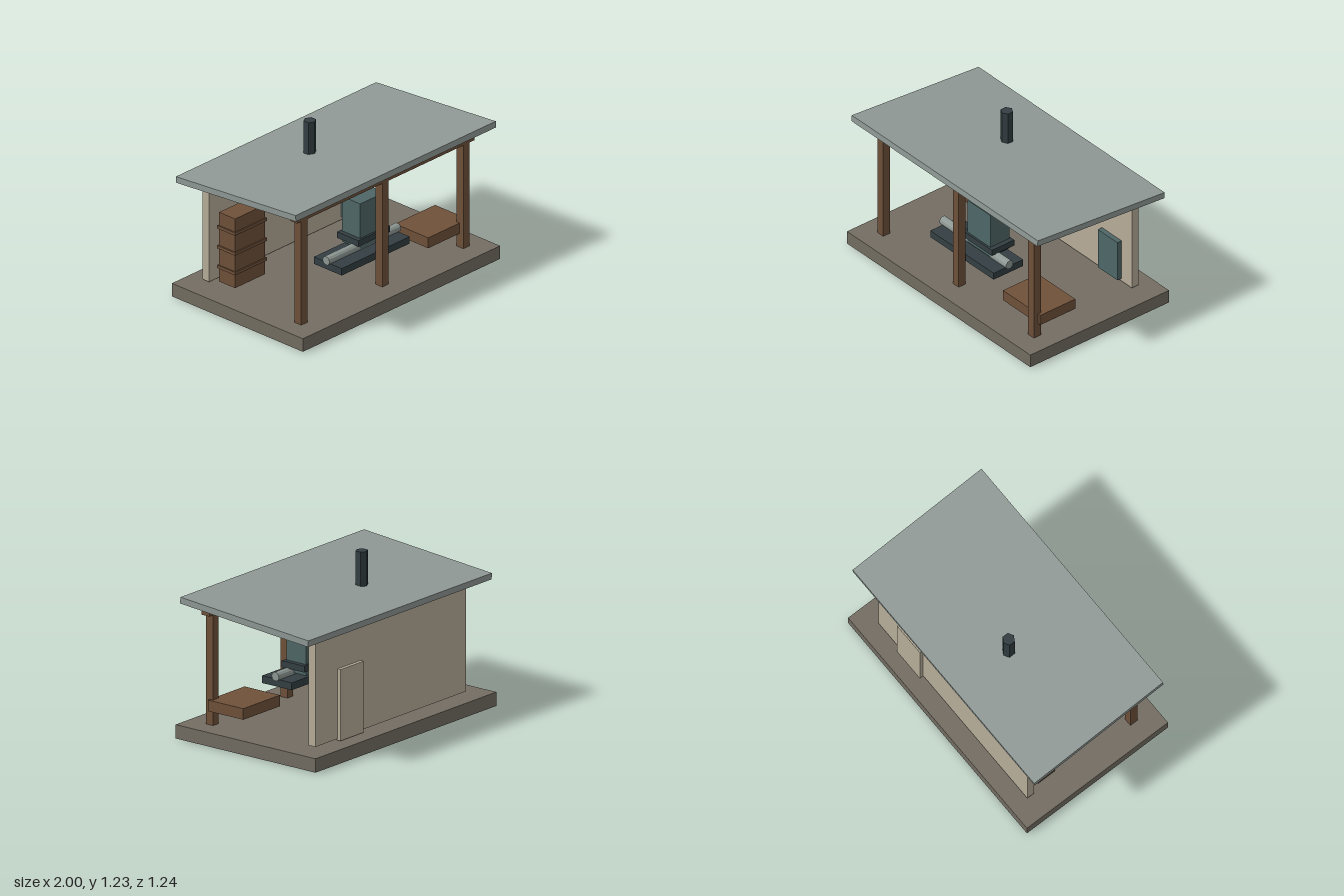
import * as THREE from 'three';

const mat = (color) => new THREE.MeshStandardMaterial({ color, flatShading: true });

export function createModel() {
  const model = new THREE.Group();
  const stone = mat(0x736d62), wood = mat(0x6f513a), plaster = mat(0xb8ae9a);
  const sheet = mat(0x8f9995), teal = mat(0x4f6767), iron = mat(0x343f43);

  const add = (name, geometry, material, x, y, z) => {
    const mesh = new THREE.Mesh(geometry, material);
    mesh.name = name;
    mesh.position.set(x, y, z);
    model.add(mesh);
    return mesh;
  };
  // Box given by its lower and upper limits on each axis
  const box = (name, material, [x0, x1], [y0, y1], [z0, z1]) =>
    add(name, new THREE.BoxGeometry(x1 - x0, y1 - y0, z1 - z0), material,
      (x0 + x1) / 2, (y0 + y1) / 2, (z0 + z1) / 2);

  // Floor slab
  box('floor', stone, [-0.985, 0.985], [0, 0.1], [-0.62, 0.62]);

  // Sloping roof, higher at the front, with a six-sided chimney
  const roof = add('roof', new THREE.BoxGeometry(2, 0.046, 1.137), sheet, 0, 0.965, 0);
  roof.rotation.x = -0.079;
  add('chimney', new THREE.CylinderGeometry(0.045, 0.045, 0.26, 6), iron, -0.145, 1.095, -0.11);

  // Front posts and the beam they carry
  for (const x of [-0.81, 0, 0.81]) {
    box('post', wood, [x - 0.031, x + 0.031], [0.1, 0.963], [0.405, 0.468]);
  }
  box('beam', wood, [-0.885, 0.885], [0.897, 0.954], [0.402, 0.472]);

  // Back wall with a door outside and a panel inside
  box('backWall', plaster, [-0.82, 0.82], [0.118, 0.858], [-0.485, -0.425]);
  box('backDoor', plaster, [0.33, 0.58], [0.108, 0.622], [-0.512, -0.478]);
  box('wallPanel', teal, [0.5, 0.71], [0.14, 0.453], [-0.426, -0.388]);

  // Banded wooden cabinet
  box('cabinet', wood, [-0.785, -0.485], [0.13, 0.662], [-0.363, -0.212]);
  for (const y of [0.246, 0.397, 0.55]) {
    box('cabinetBand', wood, [-0.795, -0.475], [y - 0.0115, y + 0.0115], [-0.373, -0.203]);
  }

  // Machine: bed, shaft, collar and housing
  box('machineBed', iron, [-0.36, 0.32], [0.282, 0.335], [0.132, 0.395]);
  const shaft = add('shaft', new THREE.CylinderGeometry(0.033, 0.033, 0.715, 12), sheet, -0.022, 0.357, 0.265);
  shaft.rotation.z = Math.PI / 2;
  box('machineCollar', iron, [-0.11, 0.205], [0.385, 0.431], [0.114, 0.315]);
  box('machineHousing', teal, [-0.075, 0.17], [0.35, 0.696], [0.128, 0.3]);

  // Low wooden bench
  box('bench', wood, [0.465, 0.865], [0.205, 0.285], [0.118, 0.432]);

  return model;
}
